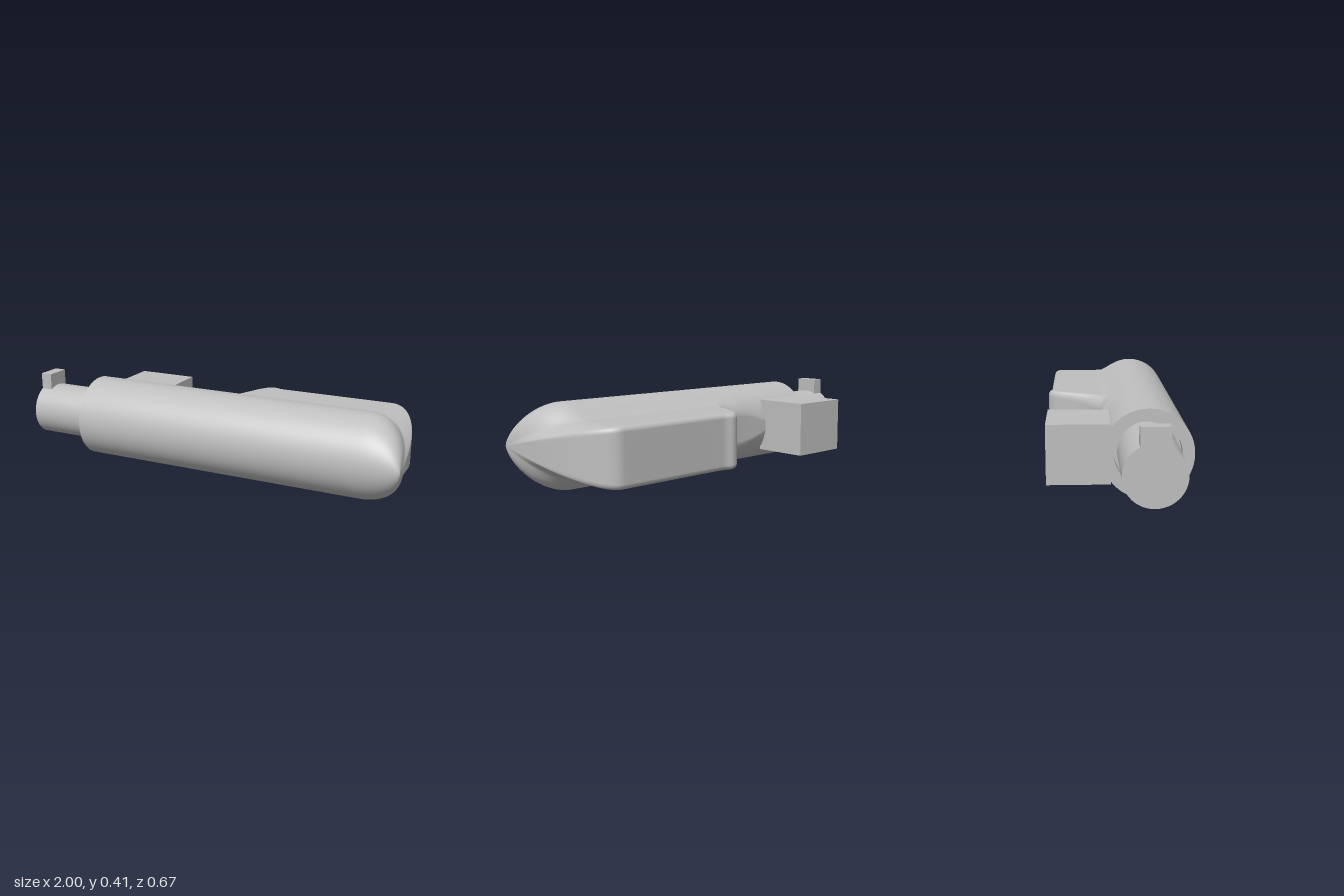
import * as THREE from 'three';

const R = 0.205, CY = 0.205, CZ = 0.13; // barrel radius and axis
const BAR = 0.137;                      // half height of the rear grip
const N = 44;                           // points along each half section

const grey = new THREE.MeshStandardMaterial({ color: 0xbfbfbf, side: THREE.DoubleSide });
grey.name = 'plain grey';

// Half height of the section at depth z: barrel circle blended into a rounded bar ending at b
function halfHeight(z, b, w, rc) {
  const circle = Math.sqrt(Math.max(R * R - (z - CZ) ** 2, 0));
  if (w <= 0 || z > 0.05) return circle;
  const d = Math.min(Math.max(z - b, 0), rc);
  const bar = w * (BAR - rc + Math.sqrt(Math.max(rc * rc - (rc - d) ** 2, 0)));
  const k = 0.045 * w;
  return Math.max(circle, bar) + Math.max(k - Math.abs(circle - bar), 0) ** 2 / (4 * k);
}

// One closed section ring, shrunk by s towards the nose point
function section(x, b, s) {
  const w = THREE.MathUtils.smoothstep(x, -0.5, -0.15);
  const rc = 0.075 - 0.05 * THREE.MathUtils.smoothstep(x, -0.1, 0.17);
  const f = CZ + R, upper = [], lower = [];
  for (let k = 0; k <= N; k++) {
    const z = f + (b - f) * (1 - Math.cos(Math.PI * k / N)) / 2;
    const h = halfHeight(z, b, w, rc) * s, zs = 0.31 + (z - 0.31) * s;
    upper.push([x, CY + h, zs]);
    if (k > 0) lower.unshift([x, CY - h, zs]);
  }
  return [...upper, ...lower];
}

function loft(rings) {
  const n = rings[0].length, index = [];
  for (let i = 0; i < rings.length - 1; i++) {
    for (let j = 0; j < n; j++) {
      const a = i * n + j, c = i * n + (j + 1) % n;
      index.push(a, a + n, c, c, a + n, c + n);
    }
  }
  const g = new THREE.BufferGeometry();
  g.setAttribute('position', new THREE.Float32BufferAttribute(rings.flat(2), 3));
  g.setIndex(index);
  g.computeVertexNormals();
  return g;
}

export function createModel() {
  const model = new THREE.Group();
  const add = (name, geometry, x = 0, y = 0, z = 0) => {
    const mesh = new THREE.Mesh(geometry, grey);
    mesh.name = name;
    mesh.position.set(x, y, z);
    model.add(mesh);
  };

  // Barrel with grip: rear outline in plan, then the rounded nose
  const outline = new THREE.CatmullRomCurve3([
    [-0.665, -0.075], [-0.5, -0.075], [-0.35, -0.075], [-0.2, -0.07], [-0.1, -0.073], [-0.03, -0.095],
    [0.02, -0.14], [0.06, -0.21], [0.1, -0.29], [0.13, -0.325], [0.16, -0.334],
    [0.2, -0.322], [0.25, -0.32], [0.5, -0.32], [0.8, -0.32],
  ].map(([x, b]) => new THREE.Vector3(x, b, 0)));
  const rings = outline.getPoints(98).map((p) => section(p.x, p.y, 1));
  for (let i = 1; i <= 20; i++) {
    const a = (i / 20) * Math.PI / 2;
    rings.push(section(0.8 + 0.2 * Math.sin(a), -0.32, Math.max(Math.cos(a), 0.001)));
  }
  add('barrelWithGrip', loft(rings));

  // Open end of the barrel: rim, shallow bore and its floor
  add('barrelRim', new THREE.RingGeometry(0.15, R, 64).rotateY(-Math.PI / 2), -0.665, CY, CZ);
  add('bore', new THREE.CylinderGeometry(0.15, 0.15, 0.06, 64, 1, true).rotateZ(Math.PI / 2), -0.635, CY, CZ);
  add('boreFloor', new THREE.RingGeometry(0.12, 0.15, 64).rotateY(-Math.PI / 2), -0.605, CY, CZ);

  // Shaft with its locating tab, and the side block
  add('shaft', new THREE.CylinderGeometry(0.135, 0.135, 0.45, 64).rotateZ(Math.PI / 2), -0.775, CY, CZ);
  add('shaftTab', new THREE.BoxGeometry(0.06, 0.088, 0.124), -0.97, 0.364, 0.13);
  add('sideBlock', new THREE.BoxGeometry(0.315, 0.272, 0.285), -0.5075, 0.206, -0.1775);

  return model;
}
